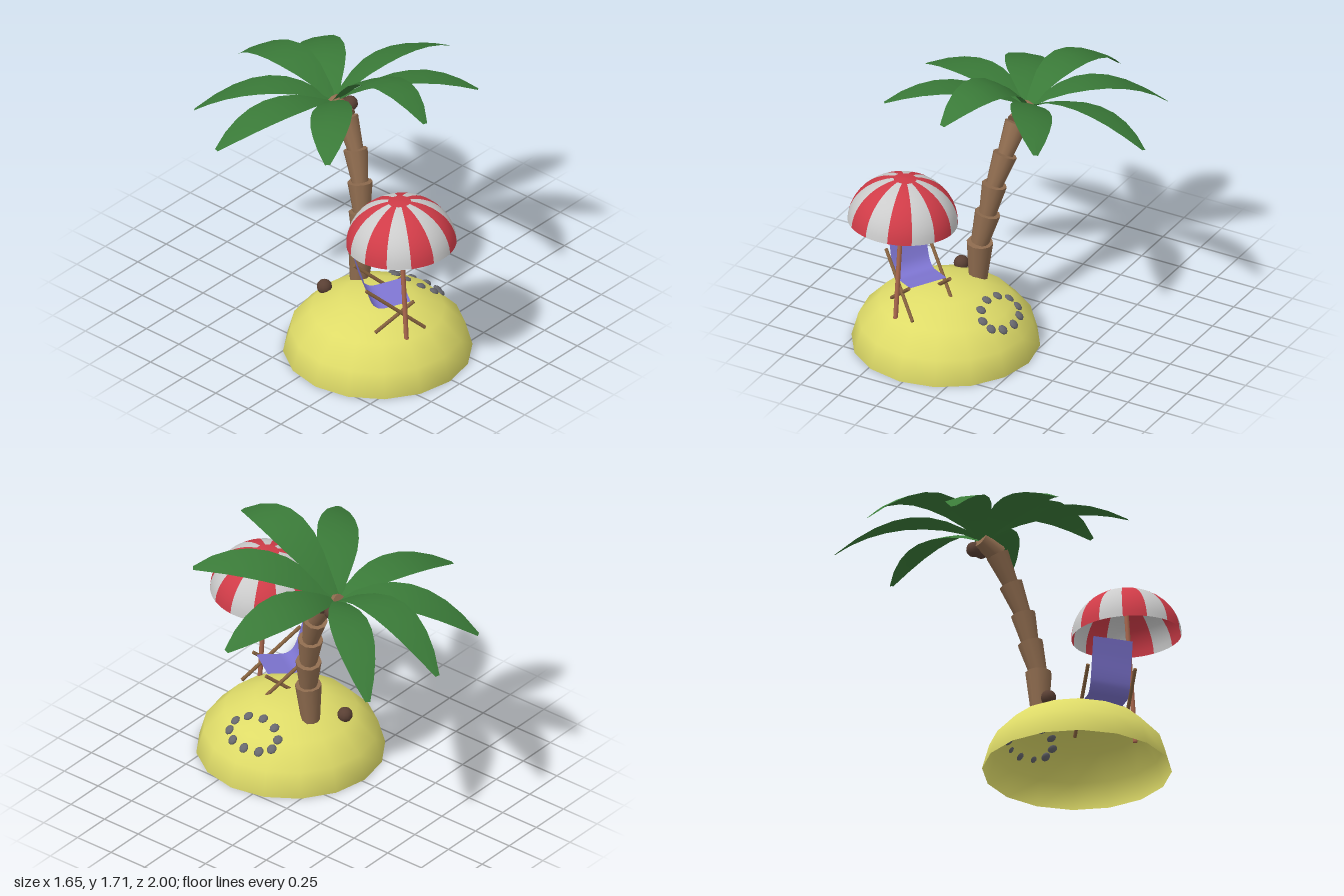
import * as THREE from 'three';

const mat = (color, side = THREE.FrontSide) => new THREE.MeshStandardMaterial({ color, side });
const V = (x, y, z) => new THREE.Vector3(x, y, z);
const UP = V(0, 1, 0);

function add(parent, name, geometry, material) {
  const mesh = new THREE.Mesh(geometry, material);
  mesh.name = name;
  parent.add(mesh);
  return mesh;
}

// Cylinder running from point a to point b
function rod(parent, name, a, b, ra, rb, sides, material) {
  const dir = b.clone().sub(a);
  const mesh = add(parent, name, new THREE.CylinderGeometry(rb, ra, dir.length(), sides), material);
  mesh.position.copy(a).add(b).multiplyScalar(0.5);
  mesh.quaternion.setFromUnitVectors(UP, dir.normalize());
}

// Sheet from rows of points, every row the same length
function sheet(rows) {
  const n = rows[0].length, index = [];
  for (let i = 0; i < rows.length - 1; i++)
    for (let j = 0; j < n - 1; j++) {
      const a = i * n + j, b = a + n;
      index.push(a, a + 1, b, a + 1, b + 1, b);
    }
  const g = new THREE.BufferGeometry().setFromPoints(rows.flat());
  g.setIndex(index);
  g.computeVertexNormals();
  return g;
}

const ISLE = { x: -0.27, z: 0.39, r: 0.55, h: 0.39 };

function makeIsland() {
  const group = new THREE.Group();
  group.name = 'island';
  const sand = add(group, 'sandMound', new THREE.SphereGeometry(1, 16, 4, 0, Math.PI * 2, 0, Math.PI / 2),
    mat(0xdedb68, THREE.DoubleSide));
  sand.scale.set(ISLE.r, ISLE.h, ISLE.r);
  sand.position.set(ISLE.x, 0, ISLE.z);

  // Ring of flat pebbles lying on the slope
  const stone = mat(0x68686e), pebble = new THREE.SphereGeometry(0.031, 10, 6);
  for (let i = 0; i < 10; i++) {
    const a = (i / 10) * Math.PI * 2;
    const dx = 0.355 - 0.09 * Math.cos(a), dz = -0.01 + 0.165 * Math.sin(a);
    const y = ISLE.h * Math.sqrt(1 - (dx * dx + dz * dz) / ISLE.r ** 2);
    const m = add(group, 'pebble', pebble, stone);
    m.position.set(ISLE.x + dx, y * 0.98, ISLE.z + dz);
    m.quaternion.setFromUnitVectors(UP,
      V(dx / ISLE.r ** 2, y / ISLE.h ** 2, dz / ISLE.r ** 2).normalize());
    m.scale.set(1, 0.5, 0.9);
  }
  return group;
}

function makePalm() {
  const group = new THREE.Group();
  group.name = 'palmTree';
  const bark = mat(0x8f6c4f), husk = mat(0x5a4034), green = mat(0x3a7a38, THREE.DoubleSide);

  // Trunk of stacked flaring segments
  const joints = [
    V(-0.18, 0.33, 0.17), V(-0.165, 0.575, 0.175), V(-0.13, 0.765, 0.145), V(-0.105, 0.945, 0.11),
    V(-0.07, 1.125, 0.045), V(-0.045, 1.295, -0.045), V(-0.025, 1.355, -0.17),
  ];
  for (let i = 0; i < 6; i++)
    rod(group, 'trunkSegment', joints[i], joints[i + 1], i === 5 ? 0.062 : 0.055 - i * 0.002,
      i === 5 ? 0.047 : 0.078 - i * 0.002, 10, bark);

  // Coconuts in the crown and one on the sand
  for (const p of [[0.04, 1.33, -0.09], [0.035, 1.315, -0.16], [-0.355, 0.32, 0.055]])
    add(group, 'coconut', new THREE.SphereGeometry(0.045, 12, 8), husk).position.set(...p);

  // Fronds: tip, middle of the spine, and the sideways and forward lean of the blade
  const root = V(-0.03, 1.355, -0.15);
  const fronds = [
    [V(0.1, 1.25, -1.0), V(0.02, 1.5, -0.58), 0, -0.2],
    [V(0.52, 1.21, -0.82), V(0.255, 1.45, -0.485), 0, -0.2],
    [V(0.82, 1.38, -0.01), V(0.395, 1.5, -0.11), 0, -0.35],
    [V(0.42, 1.52, 0.56), V(0.195, 1.575, 0.205), 0.15, -0.2],
    [V(-0.15, 1.6, 0.65), V(-0.06, 1.69, 0.25), 0.2, -0.2],
    [V(-0.69, 1.46, 0.37), V(-0.36, 1.54, 0.11), 0, -0.2],
    [V(-0.82, 1.31, -0.37), V(-0.425, 1.455, -0.26), 0, -0.05],
    [V(-0.45, 1.2, -0.86), V(-0.24, 1.43, -0.505), 0, -0.2],
  ];
  const halfWidth = [0.025, 0.055, 0.09, 0.115, 0.123, 0.118, 0.098, 0.065, 0.015];
  for (const [tip, middle, leanX, leanZ] of fronds) {
    const axis = V(leanX, 1, leanZ).normalize();
    const control = middle.clone().multiplyScalar(2).addScaledVector(root, -0.5).addScaledVector(tip, -0.5);
    const spine = new THREE.QuadraticBezierCurve3(root, control, tip);
    const rows = halfWidth.map((w, i) => {
      const p = spine.getPoint(i / 8);
      const across = spine.getTangent(i / 8).cross(axis).normalize();
      return [-1, 0, 1].map((s) => p.clone().addScaledVector(across, s * w)
        .addScaledVector(axis, s ? -0.1 * w : 0));
    });
    add(group, 'frond', sheet(rows), green);
  }
  return group;
}

function makeUmbrella() {
  const group = new THREE.Group();
  group.name = 'beachUmbrella';
  const red = mat(0xd03c48, THREE.DoubleSide), white = mat(0xcccccc, THREE.DoubleSide);
  const base = V(-0.412, 0.25, 0.735), top = V(-0.395, 1.18, 0.665);
  rod(group, 'umbrellaPole', base, top, 0.014, 0.014, 10, mat(0xab684e));

  // Domed canopy of fourteen alternating panels with a small cap
  const canopy = new THREE.Group();
  canopy.name = 'canopy';
  canopy.position.set(-0.394, 0.91, 0.68);
  canopy.quaternion.setFromUnitVectors(UP, top.clone().sub(base).normalize());
  group.add(canopy);
  const arc = (from, to, n) => Array.from({ length: n + 1 }, (_, i) => {
    const a = from + ((to - from) * i) / n;
    return new THREE.Vector2(Math.max(0, 0.32 * Math.cos(a)), 0.28 * Math.sin(a));
  });
  const capAngle = 1.36, step = Math.PI / 7;
  for (let i = 0; i < 14; i++)
    add(canopy, 'canopyPanel', new THREE.LatheGeometry(arc(0, capAngle, 10), 4, (i - 0.5) * step, step),
      i % 2 ? red : white);
  add(canopy, 'canopyCap', new THREE.LatheGeometry(arc(capAngle, Math.PI / 2, 2), 28), red);
  return group;
}

function makeDeckChair() {
  // Built facing +z, then turned on the sand
  const group = new THREE.Group();
  group.name = 'deckChair';
  group.position.set(-0.522, 0, 0.425);
  group.rotation.y = Math.atan2(0.82, 0.57);

  // Sling fabric
  const sling = new THREE.SplineCurve([[0, 0.77], [0.03, 0.67], [0.06, 0.56], [0.088, 0.495],
    [0.135, 0.465], [0.21, 0.473], [0.31, 0.488]].map((p) => new THREE.Vector2(...p)));
  const rows = sling.getPoints(20).map((p) => [V(-0.117, p.y - 0.006, p.x), V(0.117, p.y + 0.006, p.x)]);
  add(group, 'slingFabric', sheet(rows), mat(0x7d74d0, THREE.DoubleSide));

  // Crossed legs on both sides
  const wood = mat(0x86623f);
  for (const s of [-1, 1]) {
    rod(group, 'longLeg', V(s * 0.14, 0.61, 0.038), V(s * 0.14, 0.305, 0.39), 0.011, 0.011, 8, wood);
    rod(group, 'shortLeg', V(s * 0.132, 0.49, 0.325), V(s * 0.132, 0.31, 0.095), 0.011, 0.011, 8, wood);
  }
  return group;
}

export function createModel() {
  const model = new THREE.Group();
  model.name = 'desertIsland';
  model.add(makeIsland(), makePalm(), makeUmbrella(), makeDeckChair());
  return model;
}
